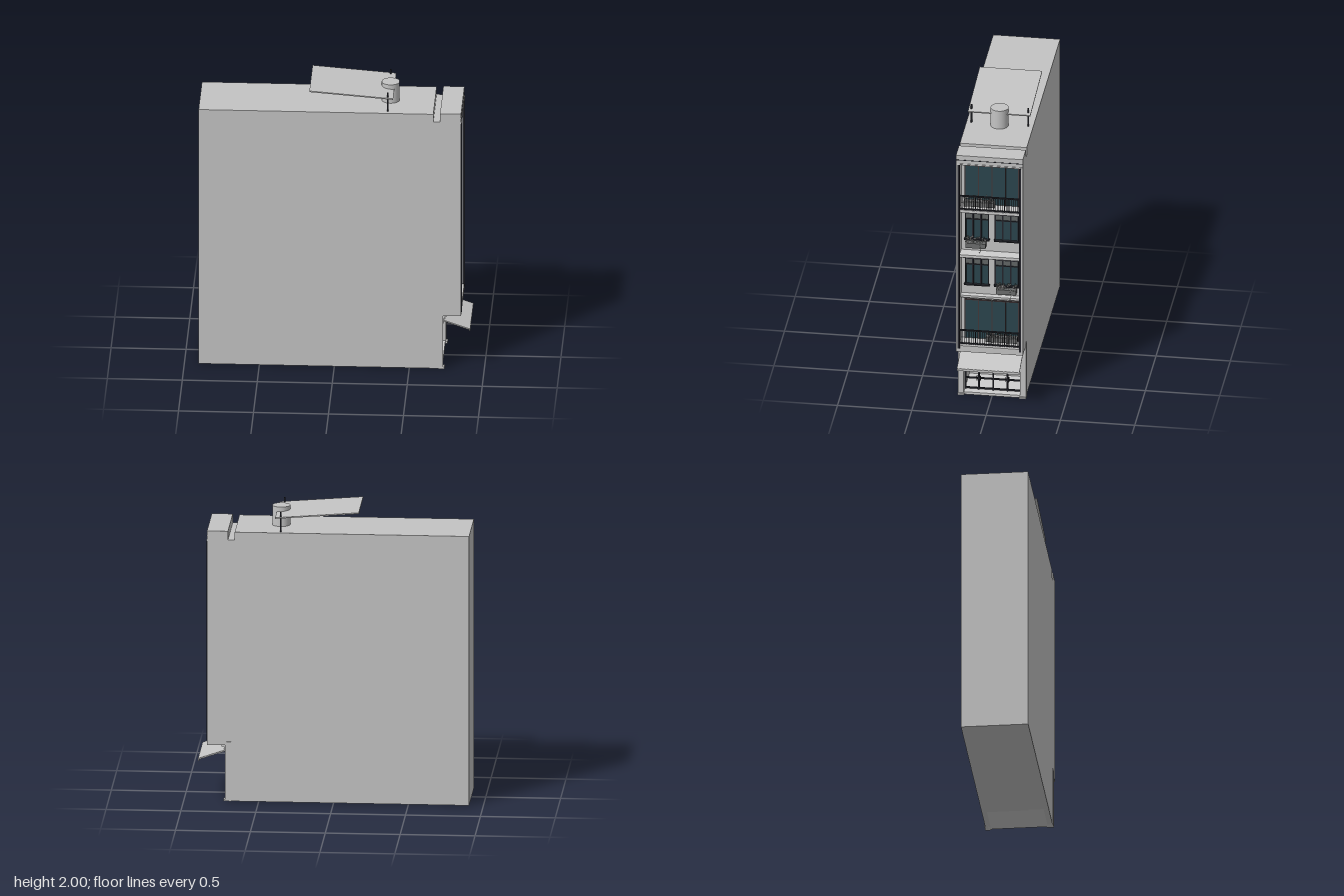
import * as THREE from 'three';

const mat = (name, color) => Object.assign(new THREE.MeshStandardMaterial({ color }), { name });

export function createModel() {
  const root = new THREE.Group();
  root.name = 'townhouse';
  const M = {
    wall: mat('wall grey', 0xc4c4c4),
    trim: mat('trim grey', 0xcecece),
    metal: mat('dark metal', 0x24252c),
    glass: mat('teal glass', 0x2b454d),
    wood: mat('dark brown frame', 0x43383a),
    transom: mat('transom grey', 0x626666),
    planter: mat('planter grey', 0x6c6e6e),
    leaf: mat('foliage grey', 0x8a8f8a),
    flower: mat('pale flower', 0xd8d4d4),
  };

  const group = (name, parent = root) => {
    const g = new THREE.Group();
    g.name = name;
    parent.add(g);
    return g;
  };
  const add = (parent, name, geo, material) => {
    const m = new THREE.Mesh(geo, material);
    m.name = name;
    parent.add(m);
    return m;
  };
  // box given by its limits on each axis
  const box = (parent, name, material, x0, x1, y0, y1, z0, z1) => {
    const m = add(parent, name, new THREE.BoxGeometry(x1 - x0, y1 - y0, z1 - z0), material);
    m.position.set((x0 + x1) / 2, (y0 + y1) / 2, (z0 + z1) / 2);
    return m;
  };
  let seed = 7;
  const rand = () => (seed = (seed * 16807) % 2147483647) / 2147483647;

  // side view outlines extruded across the width
  const slab = (name, pts, z0, z1) => {
    const shape = new THREE.Shape(pts.map(p => new THREE.Vector2(...p)));
    const geo = new THREE.ExtrudeGeometry(shape, { depth: z1 - z0, bevelEnabled: false });
    add(root, name, geo, M.wall).position.z = z0;
  };
  const roofLine = [[0.705, 1.86], [0.705, 1.8], [0.66, 1.8], [0.66, 1.855], [-0.905, 1.855]];
  const sideWall = [[-0.905, 0], [0.72, 0], [0.72, 0.385], [0.845, 0.385], [0.845, 1.86], ...roofLine];
  const core = [[-0.905, 0], [0.45, 0], [0.45, 0.27], [0.72, 0.27], [0.72, 0.385], [0.845, 0.385],
    [0.845, 0.43], [0.72, 0.43], [0.72, 1.8], [0.845, 1.8], [0.845, 1.86], ...roofLine];
  slab('leftSideWall', sideWall, 0.207, 0.225);
  slab('rightSideWall', sideWall, -0.225, -0.207);
  slab('buildingCore', core, -0.207, 0.207);

  // facade bands and ledges
  const bands = group('facadeBands');
  [[0.735, 1.765, 1.8], [0.825, 1.42, 1.44], [0.79, 1.405, 1.42], [0.75, 1.385, 1.405],
    [0.8, 1.07, 1.09], [0.775, 1.055, 1.07], [0.745, 1.04, 1.055], [0.76, 0.75, 0.765], [0.74, 0.735, 0.75]]
    .forEach(([x, y0, y1]) => box(bands, 'ledge', M.trim, 0.715, x, y0, y1, -0.207, 0.207));
  box(bands, 'parapetGroove', M.metal, 0.84, 0.847, 1.824, 1.828, -0.225, 0.225);
  box(bands, 'parapetFoot', M.trim, 0.835, 0.848, 1.79, 1.8, -0.225, 0.225);

  // paired elements on both sides
  for (const s of [1, -1]) {
    const zBox = (name, m, x0, x1, y0, y1, a, b) =>
      box(root, name, m, x0, x1, y0, y1, Math.min(s * a, s * b), Math.max(s * a, s * b));
    zBox('edgeStrip', M.metal, 0.835, 0.85, 0.41, 1.79, 0.199, 0.213);
    zBox('groundPilaster', M.wall, 0.685, 0.724, 0, 0.41, 0.19, 0.23);
    zBox('pilasterBase', M.trim, 0.685, 0.735, 0, 0.012, 0.185, 0.23);
    zBox('roofPost', M.metal, 0.35, 0.36, 1.85, 1.99, 0.186, 0.196);
    zBox('entranceCheek', M.wall, 0.45, 0.72, 0, 0.27, 0.19, 0.208);
  }

  // ground floor entrance
  const entry = group('entrance');
  box(entry, 'entranceFloor', M.trim, 0.44, 0.72, 0, 0.018, -0.207, 0.207);
  for (const y of [0.025, 0.1, 0.265])
    box(entry, 'doorRail', M.metal, 0.66, 0.67, y - 0.005, y + 0.005, -0.19, 0.19);
  for (const z of [-0.185, -0.095, 0, 0.095, 0.185])
    box(entry, 'doorPost', M.metal, 0.657, 0.673, 0.018, 0.27, z - 0.005, z + 0.005);
  for (const z of [-0.107, -0.083, 0.083, 0.107])
    box(entry, 'doorHandle', M.metal, 0.673, 0.682, 0.09, 0.125, z - 0.002, z + 0.002);
  [[0.735, 0.345, 0.365], [0.75, 0.365, 0.387]]
    .forEach(([x, y0, y1]) => box(entry, 'lintelStep', M.trim, 0.715, x, y0, y1, -0.19, 0.19));
  const awning = add(entry, 'awning', new THREE.BoxGeometry(0.195, 0.009, 0.42), M.wall);
  awning.position.set(0.812, 0.314, 0);
  awning.rotation.z = -0.33;
  box(entry, 'awningLip', M.wall, 0.898, 0.905, 0.27, 0.288, -0.21, 0.21);

  // flowers and leaves scattered along a box
  const leafGeo = new THREE.IcosahedronGeometry(0.006, 0);
  const planter = (x, y, z0, z1, trailing) => {
    const g = group('planter');
    box(g, 'planterBox', M.planter, x - 0.022, x + 0.022, y, y + 0.035, z0, z1);
    for (let i = 0; i < 70; i++) {
      const p = add(g, i % 2 ? 'leaf' : 'flower', leafGeo, i % 2 ? M.leaf : M.flower);
      p.position.set(x + (rand() - 0.5) * 0.05, y + 0.033 + rand() * 0.037, z0 + rand() * (z1 - z0));
      p.scale.setScalar(0.5 + rand() * 0.6);
    }
    if (trailing) {
      const zc = (z0 + z1) / 2 - 0.03;
      const curve = new THREE.CatmullRomCurve3([[0, 0.03, 0], [0.026, 0.02, 0], [0.026, -0.015, -0.005],
        [0.026, -0.03, 0.004]].map(([a, b, c]) => new THREE.Vector3(x + a, y + b, zc + c)));
      add(g, 'trailingStem', new THREE.TubeGeometry(curve, 10, 0.0018, 5), M.leaf);
    }
  };

  // balcony floor: glazed doors, wall lamp and railing
  const balcony = (y, top) => {
    const g = group('balcony');
    box(g, 'balconyGlass', M.glass, 0.716, 0.724, y, top, -0.18, 0.18);
    for (const z of [-0.18, -0.09, 0, 0.09, 0.18])
      box(g, 'doorStile', M.wood, 0.716, 0.73, y, top, z - 0.003, z + 0.003);
    box(g, 'doorHead', M.wood, 0.716, 0.73, top - 0.004, top + 0.003, -0.183, 0.183);
    box(g, 'wallLamp', M.planter, 0.72, 0.745, top + 0.006, top + 0.014, -0.008, 0.008);
    box(g, 'handrail', M.metal, 0.815, 0.828, y + 0.102, y + 0.11, -0.2, 0.2);
    box(g, 'bottomRail', M.metal, 0.818, 0.826, y + 0.004, y + 0.012, -0.2, 0.2);
    for (let i = 0; i <= 32; i++) {
      const z = -0.195 + i * 0.39 / 32, w = i % 8 ? 0.0014 : 0.003;
      box(g, 'baluster', M.metal, 0.82, 0.824, y, y + 0.105, z - w, z + w);
    }
  };
  balcony(1.44, 1.73);
  balcony(0.43, 0.72);
  planter(0.785, 1.46, -0.03, 0.18, false);
  planter(0.785, 0.45, -0.18, 0.03, false);

  // paired casement windows with transom lights
  const windowUnit = (y, zc) => {
    const g = group('window');
    box(g, 'windowGlass', M.glass, 0.716, 0.724, y, y + 0.15, zc - 0.078, zc + 0.078);
    box(g, 'transomLight', M.transom, 0.716, 0.725, y + 0.15, y + 0.19, zc - 0.078, zc + 0.078);
    for (const [z, w] of [[-0.077, 0.004], [-0.027, 0.005], [0.027, 0.005], [0.077, 0.004]])
      box(g, 'mullion', M.metal, 0.716, 0.732, y, y + 0.19, zc + z - w, zc + z + w);
    for (const dy of [0.147, 0.19])
      box(g, 'crossBar', M.metal, 0.716, 0.732, y + dy - 0.003, y + dy + 0.003, zc - 0.081, zc + 0.081);
    box(g, 'sill', M.metal, 0.716, 0.745, y - 0.006, y + 0.003, zc - 0.085, zc + 0.085);
  };
  for (const y of [0.84, 1.18]) for (const z of [-0.1, 0.1]) windowUnit(y, z);
  planter(0.76, 1.135, 0.036, 0.17, true);
  planter(0.76, 0.8, -0.17, -0.034, true);

  // roof tank and tilted panel
  add(root, 'waterTank', new THREE.CylinderGeometry(0.06, 0.06, 0.137, 32), M.wall).position.set(0.365, 1.9205, 0);
  const panel = add(root, 'roofPanel', new THREE.BoxGeometry(0.56, 0.008, 0.42), M.wall);
  panel.position.set(0.112, 1.974, 0);
  panel.rotation.z = -0.08;
  return root;
}
